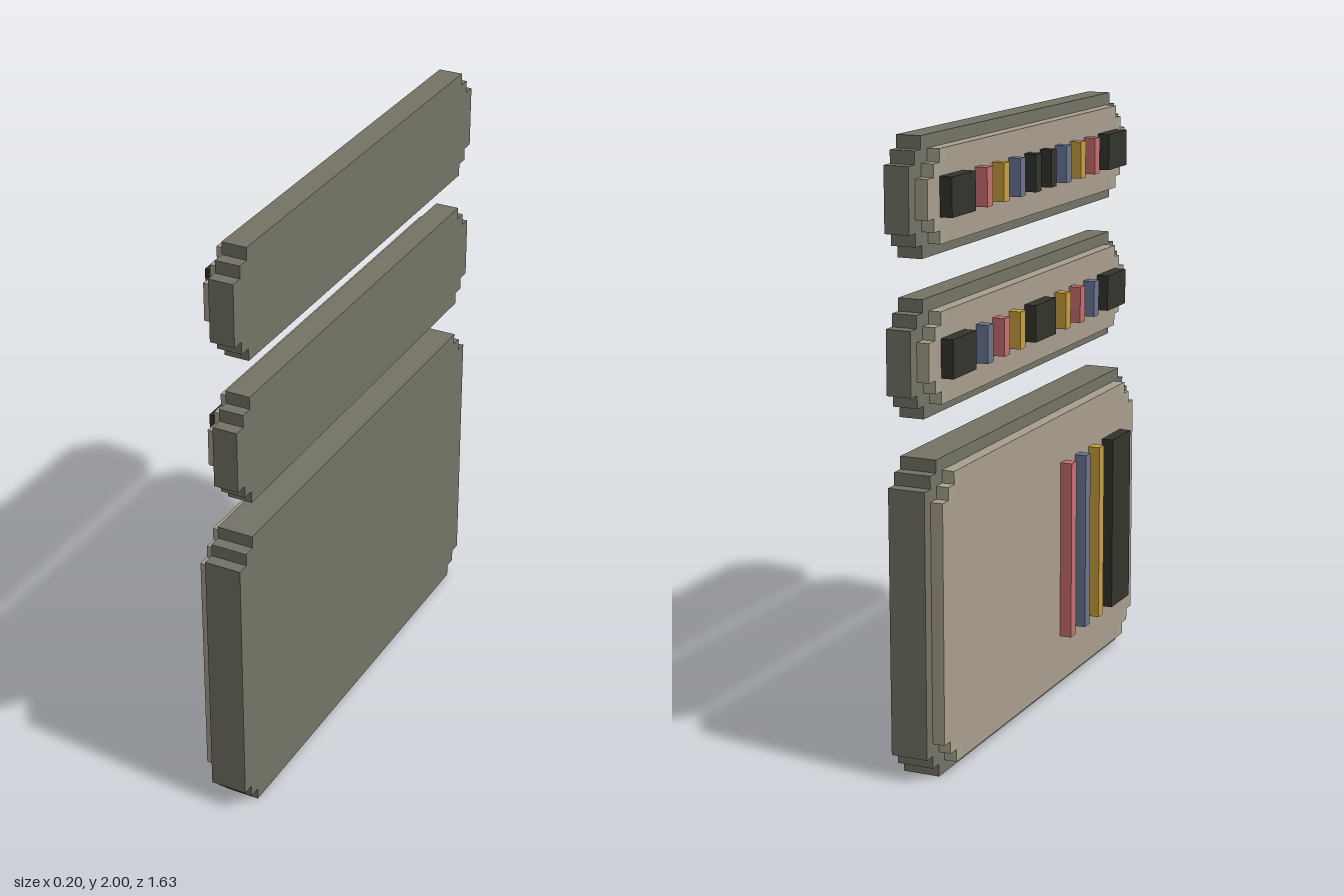
import * as THREE from 'three';

const U = 2 / 49; // grid step: every size below is in whole or half steps

const mat = (name, color) => {
  const m = new THREE.MeshStandardMaterial({ color });
  m.name = name;
  return m;
};

export function createModel() {
  const model = new THREE.Group();
  model.name = 'panels';
  const M = {
    casing: mat('casing olive grey', 0x757466),
    plate: mat('plate warm beige', 0xaa9f90),
    corner: mat('corner pale grey', 0xa9a591),
    black: mat('black', 0x33342c),
    red: mat('red', 0xc96f70),
    yellow: mat('yellow', 0xc9a040),
    blue: mat('blue', 0x6a7793),
  };

  const add = (parent, name, geometry, material) => {
    const mesh = new THREE.Mesh(geometry, material);
    mesh.name = name;
    parent.add(mesh);
  };

  const box = (parent, name, x0, x1, y0, y1, z0, z1, material) => {
    const g = new THREE.BoxGeometry((x1 - x0) * U, (y1 - y0) * U, (z1 - z0) * U);
    g.translate((x0 + x1) / 2 * U, (y0 + y1) / 2 * U, (z0 + z1) / 2 * U);
    add(parent, name, g, material);
  };

  // Slab with stair-stepped corners; insets lists the pull-in of each row from the edge
  const slab = (parent, name, x0, x1, y0, y1, half, insets, material) => {
    const quarter = [];
    insets.forEach((inset, i) => {
      quarter.push([half - inset, i]);
      if (i < insets.length - 1) quarter.push([half - inset, i + 1]);
    });
    const right = [
      ...quarter.map(([z, y]) => [z, y0 + y]),
      ...quarter.map(([z, y]) => [z, y1 - y]).reverse(),
    ];
    const left = right.map(([z, y]) => [-z, y]).reverse();
    const shape = new THREE.Shape([...right, ...left].map(([z, y]) => new THREE.Vector2(z * U, y * U)));
    const g = new THREE.ExtrudeGeometry(shape, { depth: (x1 - x0) * U, bevelEnabled: false });
    g.rotateY(-Math.PI / 2).translate(x1 * U, 0, 0);
    add(parent, name, g, material);
  };

  // Casing with a raised plate; xFace is the outer face of the plate
  const panel = (name, y0, y1, xFace) => {
    const group = new THREE.Group();
    group.name = name;
    model.add(group);
    slab(group, 'casing', xFace + 1, 2.5, y0, y1, 20, [2, 1, 0], M.casing);
    slab(group, 'plate', xFace, xFace + 1, y0 + 1, y1 - 1, 19, [3, 2, 0], M.plate);
    for (const s of [-1, 1]) {
      for (const row of [0, 1]) {
        const z = s * (16.5 + row);
        for (const y of [y0 + 1 + row, y1 - 2 - row]) {
          box(group, 'plateCorner', xFace, xFace + 1, y, y + 1, z - 0.5, z + 0.5, M.corner);
        }
      }
    }
    return group;
  };

  // Raised keys: [start z, end z, colour]
  const keys = (group, xFace, y0, y1, list) => {
    for (const [z0, z1, colour] of list) {
      box(group, colour + 'Key', xFace - 1, xFace, y0, y1, z0, z1, M[colour]);
    }
  };

  // Large lower panel with tall bars
  keys(panel('lowerPanel', 0, 25, -1.5), -1.5, 5, 20, [
    [3, 4, 'red'], [6, 7, 'blue'], [9, 10, 'yellow'], [12, 16, 'black'],
  ]);

  // Two narrow panels with symmetric rows of keys
  const row = (name, y0, colours, centre) => {
    const list = [...centre];
    for (const s of [-1, 1]) {
      const span = (a, b, c) => list.push(s > 0 ? [a, b, c] : [-b, -a, c]);
      span(13, 17, 'black');
      [4, 7, 10].forEach((z, i) => span(z, z + 1, colours[s][i]));
    }
    keys(panel(name, y0, y0 + 9, -0.5), -0.5, y0 + 3, y0 + 6, list);
  };
  row('middlePanel', 28, {
    '-1': ['yellow', 'red', 'blue'], '1': ['yellow', 'red', 'blue'],
  }, [[-2, 2, 'black']]);
  row('upperPanel', 40, {
    '-1': ['blue', 'yellow', 'red'], '1': ['blue', 'yellow', 'red'],
  }, [[-2, -1, 'black'], [1, 2, 'black']]);

  return model;
}
